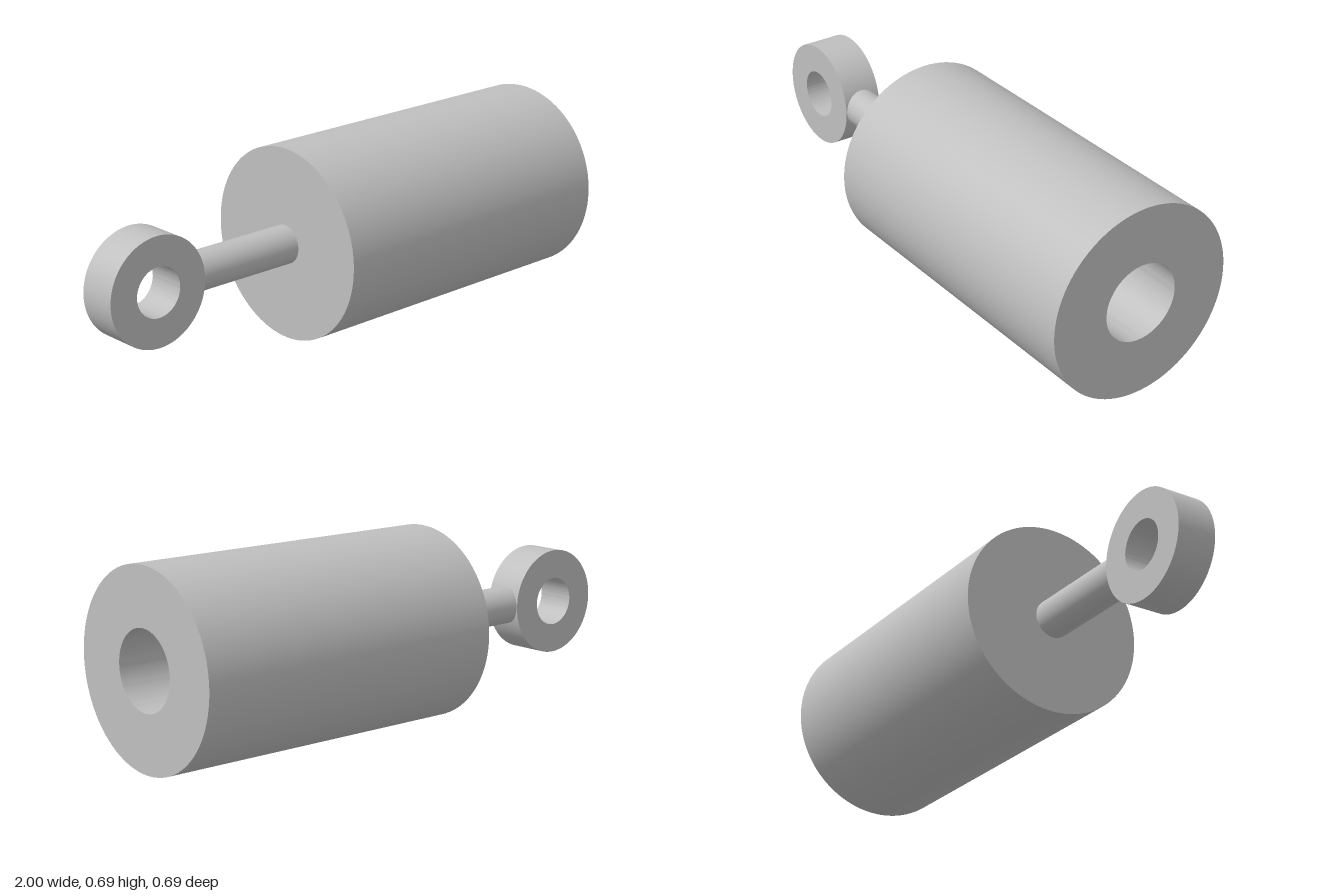
import * as THREE from 'three';
import { toCreasedNormals } from 'three/addons/utils/BufferGeometryUtils.js';

const AXIS_Y = 0.344;

// Turned part: profile of [radius, height] pairs, smooth around, sharp at corners
function turned(profile) {
  const points = profile.map(([r, h]) => new THREE.Vector2(r, h));
  return toCreasedNormals(new THREE.LatheGeometry(points, 96), Math.PI / 6);
}

export function createModel() {
  const model = new THREE.Group();
  model.name = 'cylinderWithRodEye';

  const steel = new THREE.MeshStandardMaterial({ color: 0xbfbfbf });
  steel.name = 'greySteel';

  const add = (name, geometry, x) => {
    const mesh = new THREE.Mesh(geometry, steel);
    mesh.name = name;
    mesh.position.set(x, AXIS_Y, 0);
    model.add(mesh);
  };

  // Barrel along x with a blind bore opening at the +x end
  const R = 0.344, bore = 0.139, length = 1.2, floor = 0.2;
  add('barrel', turned([
    [0, 0], [R, 0], [R, length], [bore, length], [bore, floor], [0, floor],
  ]).rotateZ(-Math.PI / 2), -0.2);

  // Rod between the barrel and the eye, its ends sunk into both
  add('rod', new THREE.CylinderGeometry(0.069, 0.069, 0.5, 64).rotateZ(-Math.PI / 2), -0.41);

  // Eye ring with its hole along z
  const outer = 0.193, inner = 0.088, half = 0.072;
  add('rodEye', turned([
    [inner, -half], [outer, -half], [outer, half], [inner, half], [inner, -half],
  ]).rotateX(Math.PI / 2), -0.807);

  return model;
}
